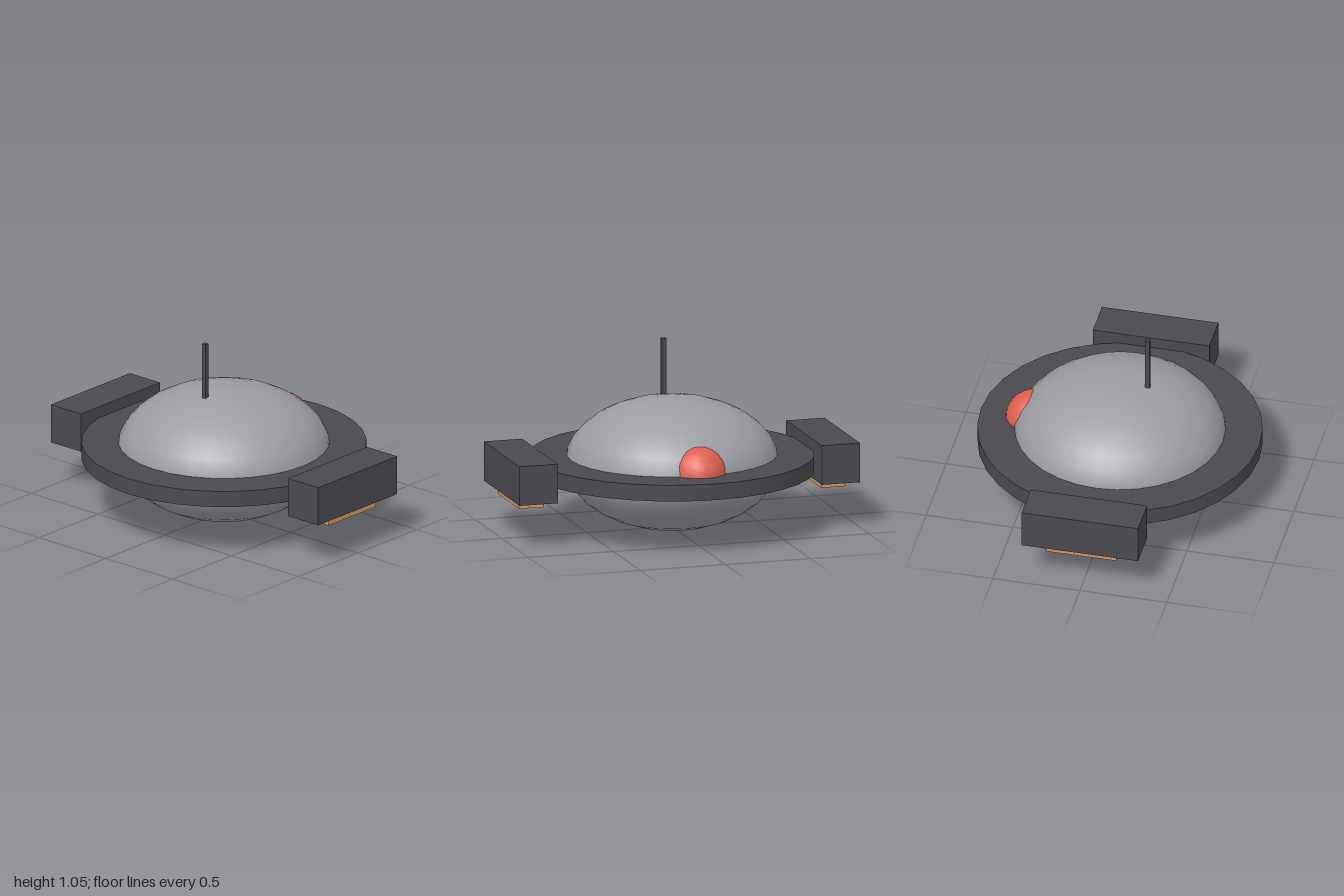
import * as THREE from 'three';

const mat = (name, color) => Object.assign(new THREE.MeshStandardMaterial({ color }), { name });

export function createModel() {
  const model = new THREE.Group();
  model.name = 'saucer';
  const hull = mat('hullGrey', 0x9c9da3);
  const dark = mat('darkGrey', 0x4a494e);
  const red = mat('red', 0xe05f50);
  const tan = mat('tan', 0xd09a60);

  const add = (name, geometry, material, x, y, z) => {
    const mesh = new THREE.Mesh(geometry, material);
    mesh.name = name;
    mesh.position.set(x, y, z);
    model.add(mesh);
    return mesh;
  };

  // Squashed round hull
  add('body', new THREE.SphereGeometry(0.6, 32, 16).scale(1, 0.62, 1), hull, 0, 0.377, 0);

  // Flat ring around the hull
  add('ring', new THREE.CylinderGeometry(0.8, 0.8, 0.093, 32), dark, 0, 0.378, 0);

  // Rear light
  add('rearLight', new THREE.SphereGeometry(0.16, 16, 12), red, 0, 0.415, -0.495);

  // Antenna
  add('antenna', new THREE.BoxGeometry(0.026, 0.36, 0.026), dark, 0, 0.875, 0.16);

  // Side pods with a pad underneath each
  for (const [side, s] of [['left', 1], ['right', -1]]) {
    add(side + 'Pod', new THREE.BoxGeometry(0.225, 0.225, 0.67), dark, s * 0.8875, 0.3775, 0);
    add(side + 'Pad', new THREE.BoxGeometry(0.145, 0.06, 0.4), tan, s * 0.8875, 0.246, 0);
  }
  return model;
}
